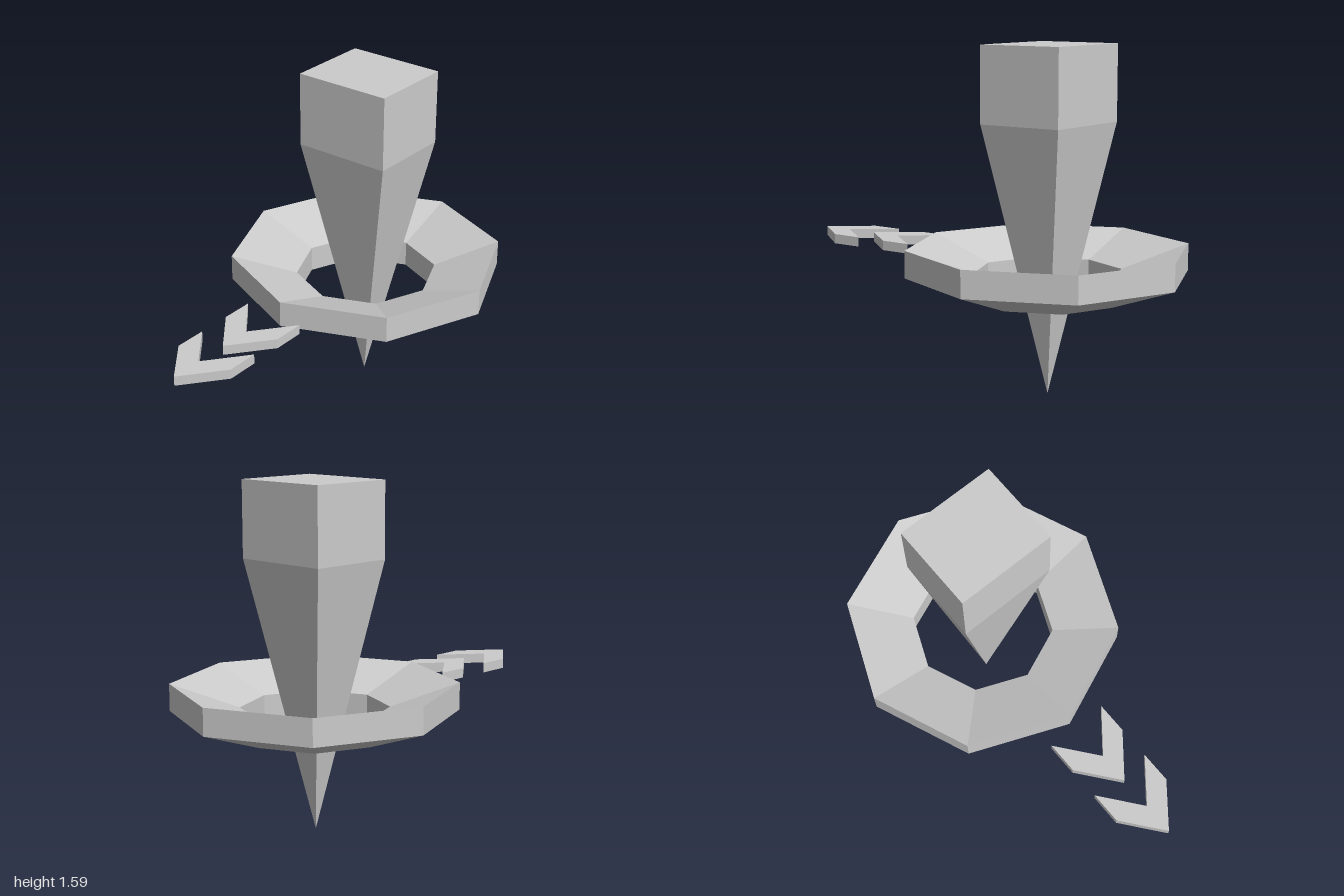
import * as THREE from 'three';

const material = new THREE.MeshStandardMaterial({ color: 0xcccccc, flatShading: true, side: THREE.DoubleSide });

function part(name, geometry, parent) {
  const mesh = new THREE.Mesh(geometry, material);
  mesh.name = name;
  parent.add(mesh);
  return mesh;
}

const profile = (points) => points.map(([r, y]) => new THREE.Vector2(r, y));

export function createModel() {
  const group = new THREE.Group();
  group.name = 'markerSpike';
  const centerZ = -0.349;

  // Square block tapering down to a point
  const spike = new THREE.LatheGeometry(
    profile([[0, 0], [Math.SQRT2, 1.24], [Math.SQRT2, 1.59], [0, 1.59]]), 4);
  spike.rotateY(Math.PI / 4);
  spike.scale(0.237, 1, 0.206);
  part('spike', spike, group).position.z = centerZ;

  // Eight-sided ring sloping down towards its hole
  const ring = new THREE.LatheGeometry(
    profile([[0.338, 0.445], [0.651, 0.555], [0.651, 0.68], [0.338, 0.57], [0.338, 0.445]]), 8);
  part('ring', ring, group).position.z = centerZ;

  // Two flat chevrons pointing to the front
  const outline = new THREE.Shape(profile([
    [-0.152, 0], [0, 0.19], [0.152, 0], [0.152, 0.152], [0, 0.342], [-0.152, 0.152],
  ]));
  const chevron = new THREE.ExtrudeGeometry(outline, { depth: 0.046, bevelEnabled: false });
  chevron.rotateX(Math.PI / 2);
  [0.349, 0.658].forEach((z, i) => {
    part(i ? 'frontChevron' : 'rearChevron', chevron, group).position.set(0, 0.64, z);
  });

  return group;
}
